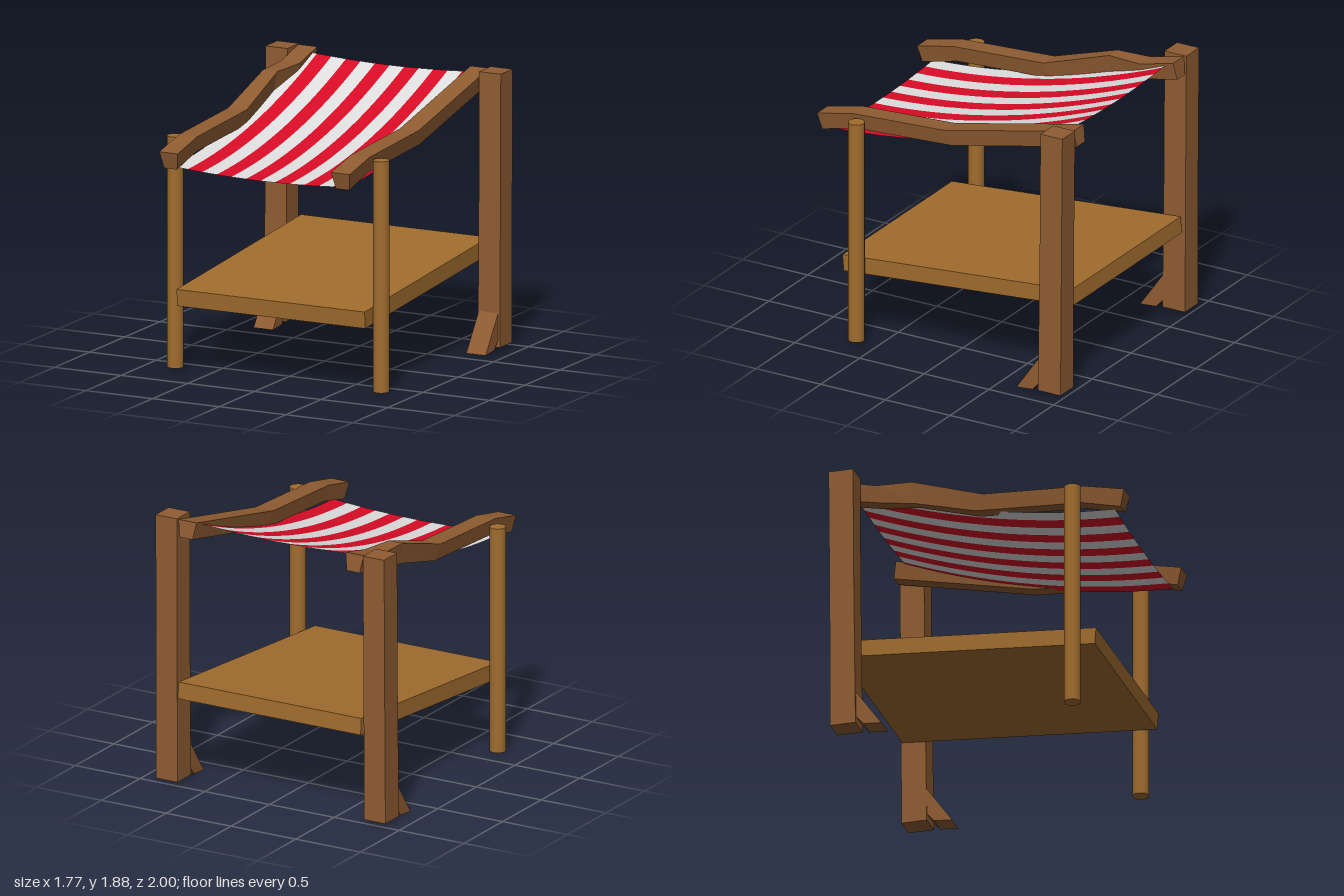
import * as THREE from 'three';

const mat = (name, color, extra = {}) => {
  const m = new THREE.MeshStandardMaterial({ color, ...extra });
  m.name = name;
  return m;
};

// Solid skinned over a series of four-cornered rings, flat faced, with end caps
function loft(rings) {
  const pos = [];
  const quad = (a, b, c, d) => pos.push(...a, ...b, ...c, ...a, ...c, ...d);
  for (let k = 0; k < rings.length - 1; k++) {
    const a = rings[k], b = rings[k + 1];
    for (let i = 0; i < 4; i++) {
      const j = (i + 1) % 4;
      quad(a[i], a[j], b[j], b[i]);
    }
  }
  const s = rings[0], e = rings[rings.length - 1];
  quad(s[0], s[3], s[2], s[1]);
  quad(e[0], e[1], e[2], e[3]);
  const g = new THREE.BufferGeometry();
  g.setAttribute('position', new THREE.Float32BufferAttribute(pos, 3));
  g.computeVertexNormals();
  return g;
}

// Horizontal ring of a post at height y
const postRing = (y, x0, x1, z0, z1) =>
  [[x0, y, z1], [x1, y, z1], [x1, y, z0], [x0, y, z0]];

// Rail ring: wide top edge, slightly narrower bottom edge
const railRing = ([zt, yt, zb, yb, x0, x1]) =>
  [[x0 + 0.02, yb, zb], [x1 - 0.02, yb, zb], [x1, yt, zt], [x0, yt, zt]];

export function createModel() {
  const group = new THREE.Group();
  const darkWood = mat('dark wood', 0x8f5c32);
  const lightWood = mat('light wood', 0xa06c2e);
  const red = mat('red cloth', 0xd80c26, { side: THREE.DoubleSide });
  const white = mat('white cloth', 0xdedede, { side: THREE.DoubleSide });
  const add = (name, geometry, material) => {
    const mesh = new THREE.Mesh(geometry, material);
    mesh.name = name;
    group.add(mesh);
    return mesh;
  };

  for (const [side, s] of [['left', 1], ['right', -1]]) {
    // Square back post, slightly uneven along its height
    const span = (a, b) => (s > 0 ? [a, b] : [-b, -a]);
    add(side + 'BackPost', loft([
      postRing(0.025, ...span(0.72, 0.885), -0.985, -0.81),
      postRing(1.0, ...span(0.72, 0.882), -0.99, -0.822),
      postRing(1.883, ...span(0.718, 0.882), -0.997, -0.828),
    ]), darkWood);

    // Slanted foot brace in front of the post
    const [b0, b1] = span(0.725, 0.87);
    const profile = [[-0.635, 0.005], [-0.76, 0.015], [-0.85, 0.12], [-0.85, 0.31]];
    add(side + 'FootBrace', loft([b0, b1].map(x => profile.map(([z, y]) => [x, y, z]))), darkWood);

    // Round front pole
    add(side + 'FrontPole', new THREE.CylinderGeometry(0.055, 0.055, 1.575, 32), lightWood)
      .position.set(0.772 * s, 0.807, 0.66);
  }

  // Bent top rails: top z, top y, bottom z, bottom y, x range
  add('leftRail', loft([
    [-0.98, 1.875, -1.0, 1.76, 0.575, 0.715],
    [0.02, 1.657, -0.03, 1.55, 0.575, 0.715],
    [0.72, 1.62, 0.7, 1.51, 0.575, 0.715],
    [1.0, 1.56, 0.97, 1.445, 0.575, 0.715],
  ].map(railRing)), darkWood);
  add('rightRail', loft([
    [-0.98, 1.88, -1.0, 1.76, -0.715, -0.575],
    [-0.72, 1.82, -0.7, 1.7, -0.713, -0.57],
    [-0.47, 1.812, -0.45, 1.66, -0.713, -0.605],
    [0.02, 1.657, -0.03, 1.55, -0.713, -0.575],
    [0.72, 1.62, 0.7, 1.51, -0.713, -0.575],
    [1.0, 1.56, 0.97, 1.445, -0.713, -0.575],
  ].map(railRing)), darkWood);

  // Tilted shelf
  const shelf = add('shelf', new THREE.BoxGeometry(1.41, 0.115, 1.775), lightWood);
  shelf.position.set(0.015, 0.5975, -0.09);
  shelf.rotation.x = 0.081;

  // Sagging striped canopy, one strip per stripe
  const w = 0.109;
  for (let k = 0; k < 12; k++) {
    const g = new THREE.PlaneGeometry(w, 1.84, 3, 24);
    g.rotateX(-Math.PI / 2);
    g.translate((k - 5.5) * w, 0, 0);
    const p = g.attributes.position;
    for (let i = 0; i < p.count; i++) {
      const x = p.getX(i), z = p.getZ(i);
      p.setY(i, 1.54 + 0.1017 * z * z - 0.2217 * z + 0.065 * x * x);
    }
    g.computeVertexNormals();
    add('canopyStripe' + (k + 1), g, k % 2 ? red : white);
  }
  return group;
}
